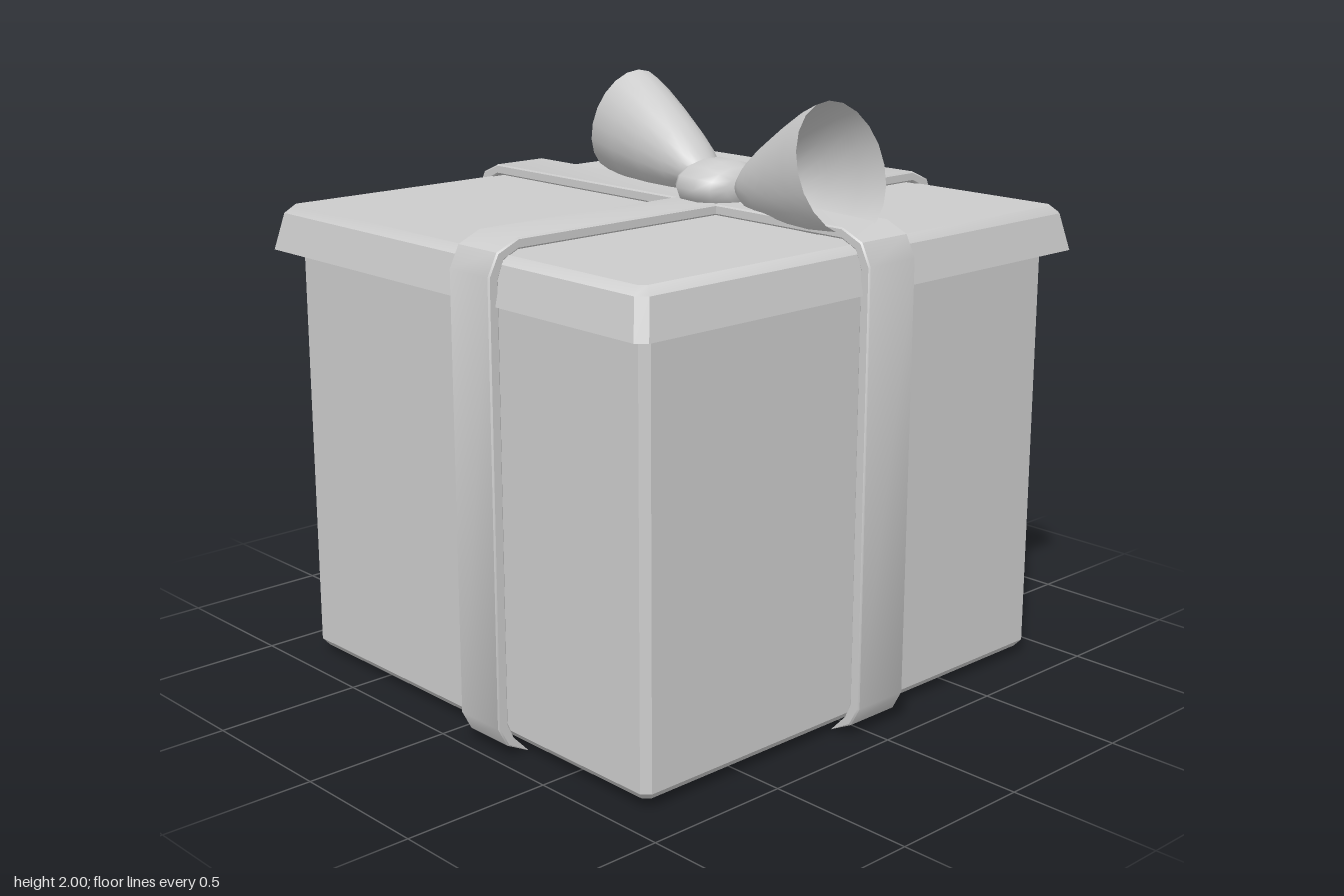
import * as THREE from 'three';
import { toCreasedNormals } from 'three/addons/utils/BufferGeometryUtils.js';

const grey = new THREE.MeshStandardMaterial({ color: 0xcccccc, side: THREE.DoubleSide });
grey.name = 'plain grey';

function add(parent, name, geometry) {
  const mesh = new THREE.Mesh(geometry, grey);
  mesh.name = name;
  parent.add(mesh);
  return mesh;
}

// Skin over rings of points listed counter-clockwise seen from the far end
function loft(rings, capEnd) {
  const n = rings[0].length, pos = rings.flat(2), index = [];
  for (let r = 0; r < rings.length - 1; r++) {
    for (let i = 0; i < n; i++) {
      const a = r * n + i, b = r * n + (i + 1) % n;
      index.push(a, b, b + n, a, b + n, a + n);
    }
  }
  if (capEnd) {
    const s = (rings.length - 1) * n;
    for (let i = 1; i < n - 1; i++) index.push(s, s + i, s + i + 1);
  }
  const g = new THREE.BufferGeometry();
  g.setAttribute('position', new THREE.Float32BufferAttribute(pos, 3));
  g.setIndex(index);
  return g;
}

// Rectangle with cut corners at height y
function cutRect(hx, hz, y, c) {
  return [
    [hx, hz - c], [hx, c - hz], [hx - c, -hz], [c - hx, -hz],
    [-hx, c - hz], [-hx, hz - c], [c - hx, hz], [hx - c, hz],
  ].map(([x, z]) => [x, y, z]);
}

// Band that wraps over the top and hooks under both lower edges
function ribbon(halfLength, width) {
  const w = halfLength;
  const outer = [[w - 0.12, 0.002], [w - 0.035, 0.045], [w, 0.11], [w, 1.53], [w - 0.035, 1.6], [w - 0.115, 1.635]];
  const inner = [[w - 0.115, 1.6], [w - 0.06, 1.575], [w - 0.038, 1.52], [w - 0.038, 0.12], [w - 0.06, 0.065]];
  const mirror = (pts) => pts.map(([x, y]) => [-x, y]).reverse();
  const outline = [...outer, ...mirror(outer), ...mirror(inner), ...inner];
  const shape = new THREE.Shape(outline.map(([x, y]) => new THREE.Vector2(x, y)));
  const b = 0.005;
  const g = new THREE.ExtrudeGeometry(shape, {
    depth: width - 2 * b, bevelEnabled: true, bevelSize: b, bevelThickness: b, bevelOffset: -b, bevelSegments: 1,
  });
  g.translate(0, 0, b - width / 2);
  return toCreasedNormals(g, 0.6);
}

// Flared open loop from the knot to a slanted mouth
function bowLoop(start, end, endRy, endRz, slantY, slantZ) {
  const steps = [[0, 0.1, 0.14], [0.06, 0.25, 0.42], [0.16, 0.43, 0.62], [0.32, 0.63, 0.76],
    [0.55, 0.82, 0.89], [0.8, 0.96, 0.97], [1, 1, 1]];
  const dir = Math.sign(end[0] - start[0]);
  const rings = steps.map(([t, fy, fz]) => {
    const ring = [];
    for (let i = 0; i < 20; i++) {
      const a = dir * i / 20 * Math.PI * 2;
      const dy = Math.cos(a) * endRy * fy, dz = Math.sin(a) * endRz * fz;
      const c = start.map((s, k) => s + (end[k] - s) * t);
      ring.push([c[0] + t * t * (slantY * dy + slantZ * dz), c[1] + dy, c[2] + dz]);
    }
    return ring;
  });
  const g = loft(rings, false);
  g.computeVertexNormals();
  return g;
}

export function createModel() {
  const model = new THREE.Group();
  model.name = 'giftBox';

  // Box walls, open underneath
  add(model, 'boxWalls', toCreasedNormals(loft([
    cutRect(0.83, 0.88, 0.03, 0.02), cutRect(0.85, 0.9, 0.055, 0.025), cutRect(0.85, 0.9, 1.57, 0.025),
  ], false), 0.5));

  // Lid with a flared skirt
  add(model, 'lid', toCreasedNormals(loft([
    cutRect(0.92, 0.975, 1.44, 0.03), cutRect(0.893, 0.948, 1.563, 0.03), cutRect(0.865, 0.92, 1.588, 0.02),
  ], true), 0.5));

  // Ribbons crossing on top
  const side = add(model, 'ribbonAcross', ribbon(0.943, 0.21));
  side.position.z = -0.027;
  const front = add(model, 'ribbonFrontToBack', ribbon(0.998, 0.19));
  front.rotation.y = Math.PI / 2;
  front.position.x = 0.193;

  // Narrow ribbon edges left under the box
  add(model, 'lowerEdgeAcross', new THREE.BoxGeometry(0.93, 0.025, 0.006)).position.set(-0.36, 0.017, -0.13);
  add(model, 'lowerEdgeBack', new THREE.BoxGeometry(0.006, 0.025, 0.76)).position.set(0.1, 0.017, -0.507);

  // Bow
  const bow = new THREE.Group();
  bow.name = 'bow';
  model.add(bow);
  const profile = [[0, -0.125], [0.07, -0.12], [0.115, -0.09], [0.145, -0.045], [0.145, 0.045],
    [0.115, 0.09], [0.07, 0.12], [0, 0.125]].map(([r, y]) => new THREE.Vector2(r, y));
  const knotShape = new THREE.LatheGeometry(profile, 14);
  knotShape.rotateZ(Math.PI / 2);
  knotShape.scale(1, 0.58, 1);
  const knot = add(bow, 'knot', knotShape);
  knot.position.set(0.193, 1.675, -0.035);
  knot.rotation.y = -0.12;
  add(bow, 'leftLoop', bowLoop([0.29, 1.68, -0.04], [0.77, 1.8, 0.02], 0.2, 0.148, -0.28, -0.28));
  add(bow, 'rightLoop', bowLoop([0.11, 1.69, -0.08], [-0.38, 1.815, -0.15], 0.18, 0.14, 0.29, -0.2));

  return model;
}
